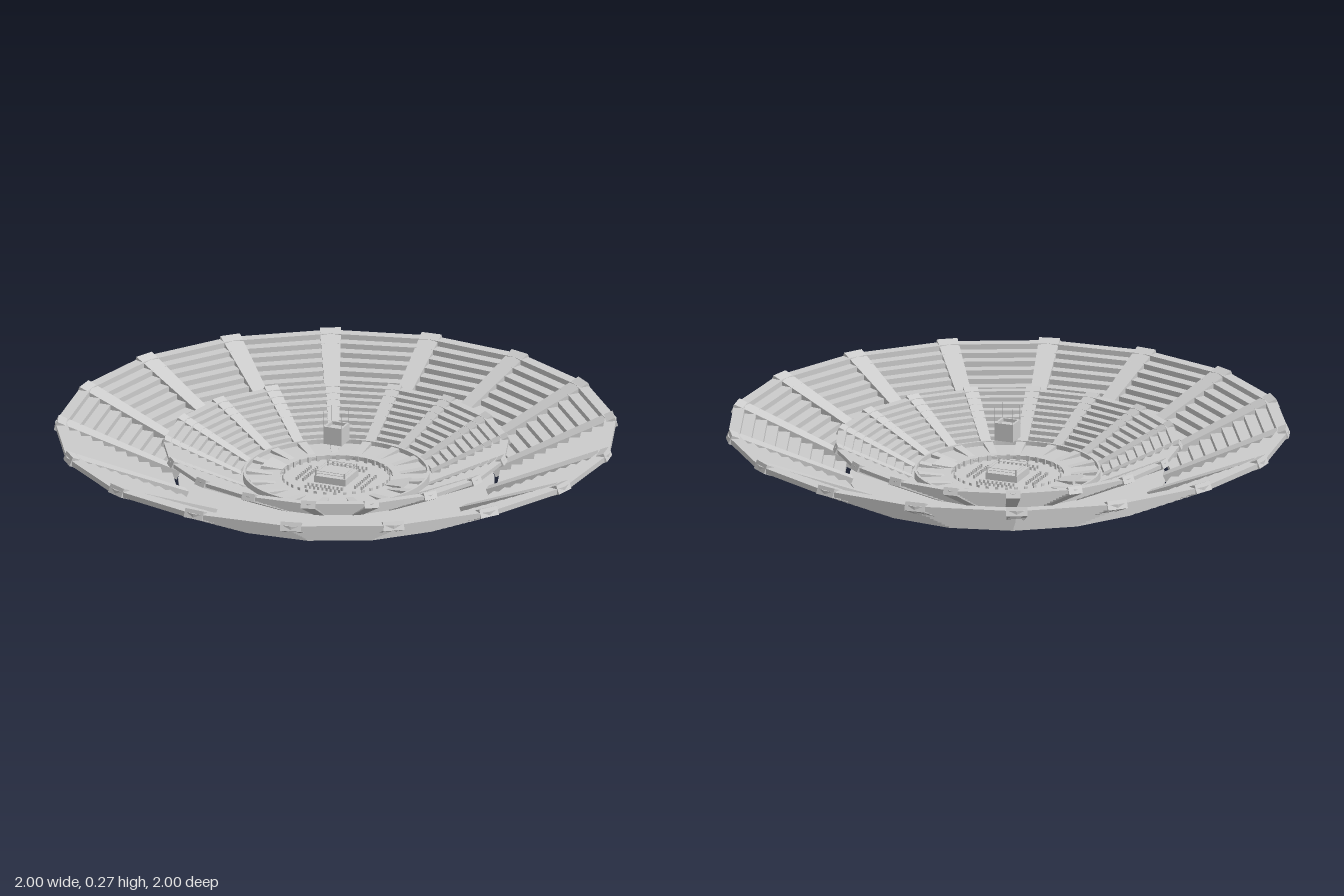
import * as THREE from 'three';

const BAYS = 17;
const START = Math.PI + 0.051; // direction of the first aisle
const flat = new THREE.MeshStandardMaterial({ color: 0xcccccc, flatShading: true });

export function createModel() {
  const model = new THREE.Group();

  function add(parent, name, geometry, x = 0, y = 0, z = 0) {
    const mesh = new THREE.Mesh(geometry, flat);
    mesh.name = name;
    mesh.position.set(x, y, z);
    parent.add(mesh);
    return mesh;
  }

  const box = (w, h, d) => new THREE.BoxGeometry(w, h, d);

  // Closed ring with a rectangular section
  function ring(r0, r1, y0, y1, sides) {
    const section = [[r0, y0], [r1, y0], [r1, y1], [r0, y1], [r0, y0]];
    return new THREE.LatheGeometry(section.map(p => new THREE.Vector2(...p)), sides, START);
  }

  // Sloping beam along +x whose width grows from w0 to w1
  function beam(r0, y0, r1, y1, thick, w0, w1) {
    const g = box(1, 1, 1);
    const p = g.attributes.position;
    const a = Math.atan2(y1 - y0, r1 - r0);
    for (let i = 0; i < p.count; i++) {
      const t = p.getX(i) + 0.5;
      const h = (p.getY(i) + 0.5) * thick;
      p.setXYZ(i,
        THREE.MathUtils.lerp(r0, r1, t) - h * Math.sin(a),
        THREE.MathUtils.lerp(y0, y1, t) + h * Math.cos(a),
        p.getZ(i) * THREE.MathUtils.lerp(w0, w1, t));
    }
    return g;
  }

  // One beam per corner of the bowl
  function aisles(parent, geometry) {
    for (let i = 0; i < BAYS; i++) {
      const phi = START + (i * Math.PI * 2) / BAYS;
      add(parent, 'aisle', geometry).rotation.y = phi - Math.PI / 2;
    }
  }

  // Stepped seating tier with its aisles
  function tier(name, r0, r1, y0, y1, steps, aisle) {
    const group = new THREE.Group();
    group.name = name;
    const dr = (r1 - r0) / steps, dy = (y1 - y0) / steps;
    for (let i = 0; i < steps; i++) {
      add(group, 'seatingStep',
        ring(r0 + i * dr, r0 + (i + 1) * dr, y0 + i * dy, y0 + (i + 1) * dy, BAYS));
    }
    aisles(group, aisle);
    model.add(group);
  }

  tier('upperTier', 0.585, 0.998, 0.008, 0.2, 10, beam(0.565, 0, 1.0, 0.182, 0.033, 0.042, 0.075));
  tier('lowerTier', 0.345, 0.615, 0.012, 0.142, 9, beam(0.35, 0, 0.62, 0.127, 0.028, 0.036, 0.052));

  // Arena floor and the low ringside terrace
  add(model, 'floor', new THREE.CylinderGeometry(0.56, 0.56, 0.01, 68), 0, 0.005, 0);
  const terrace = new THREE.Group();
  terrace.name = 'ringsideTerrace';
  add(terrace, 'terracePlate', ring(0.2, 0.33, 0.01, 0.024, 68));
  add(terrace, 'terraceWall', ring(0.322, 0.33, 0.02, 0.04, 68));
  aisles(terrace, beam(0.2, 0.008, 0.32, 0.026, 0.012, 0.022, 0.034));
  model.add(terrace);

  // Flared entrance ramps on both sides
  for (const s of [-1, 1]) {
    const ramp = add(model, 'entranceRamp', beam(0.2, 0.014, 0.27, 0.026, 0.012, 0.05, 0.1));
    ramp.rotation.y = s > 0 ? 0 : Math.PI;
  }

  // Barrier posts round the floor
  const post = box(0.012, 0.02, 0.004);
  for (let i = 0; i < 34; i++) {
    const a = (i / 34) * Math.PI * 2;
    add(model, 'barrierPost', post, 0.19 * Math.sin(a), 0.02, 0.19 * Math.cos(a)).rotation.y = a;
  }

  // Square stage with corner posts and ropes
  const stage = new THREE.Group();
  stage.name = 'stage';
  add(stage, 'stageBase', box(0.12, 0.025, 0.12), 0, 0.0225, 0);
  for (const x of [-1, 1]) {
    for (const z of [-1, 1]) add(stage, 'cornerPost', box(0.005, 0.022, 0.005), x * 0.055, 0.046, z * 0.055);
    for (const y of [0.044, 0.053]) {
      add(stage, 'rope', box(0.0015, 0.0015, 0.11), x * 0.055, y, 0);
      add(stage, 'rope', box(0.11, 0.0015, 0.0015), 0, y, x * 0.055);
    }
  }
  model.add(stage);

  // Rows of floor seats on the four sides of the stage
  const chair = box(0.007, 0.012, 0.007);
  for (let side = 0; side < 4; side++) {
    const rows = new THREE.Group();
    rows.name = 'floorSeats';
    rows.rotation.y = (side * Math.PI) / 2;
    for (const z of [0.1, 0.125]) {
      for (let i = -4; i <= 4; i++) add(rows, 'seat', chair, i * 0.016, 0.016, z);
    }
    model.add(rows);
  }

  // Hanging screen cube, open in the middle, with its cables
  const cube = new THREE.Group();
  cube.name = 'hangingScreens';
  for (let i = 0; i < 4; i++) {
    const side = new THREE.Group();
    side.name = 'screenSide';
    side.rotation.y = (i * Math.PI) / 2;
    add(side, 'screen', box(0.07, 0.065, 0.008), 0, 0.1825, 0.031);
    add(side, 'cable', box(0.0015, 0.06, 0.0015), 0.034, 0.242, 0.034);
    cube.add(side);
  }
  add(cube, 'screenCore', box(0.056, 0.05, 0.056), 0, 0.178, 0);
  model.add(cube);

  return model;
}
